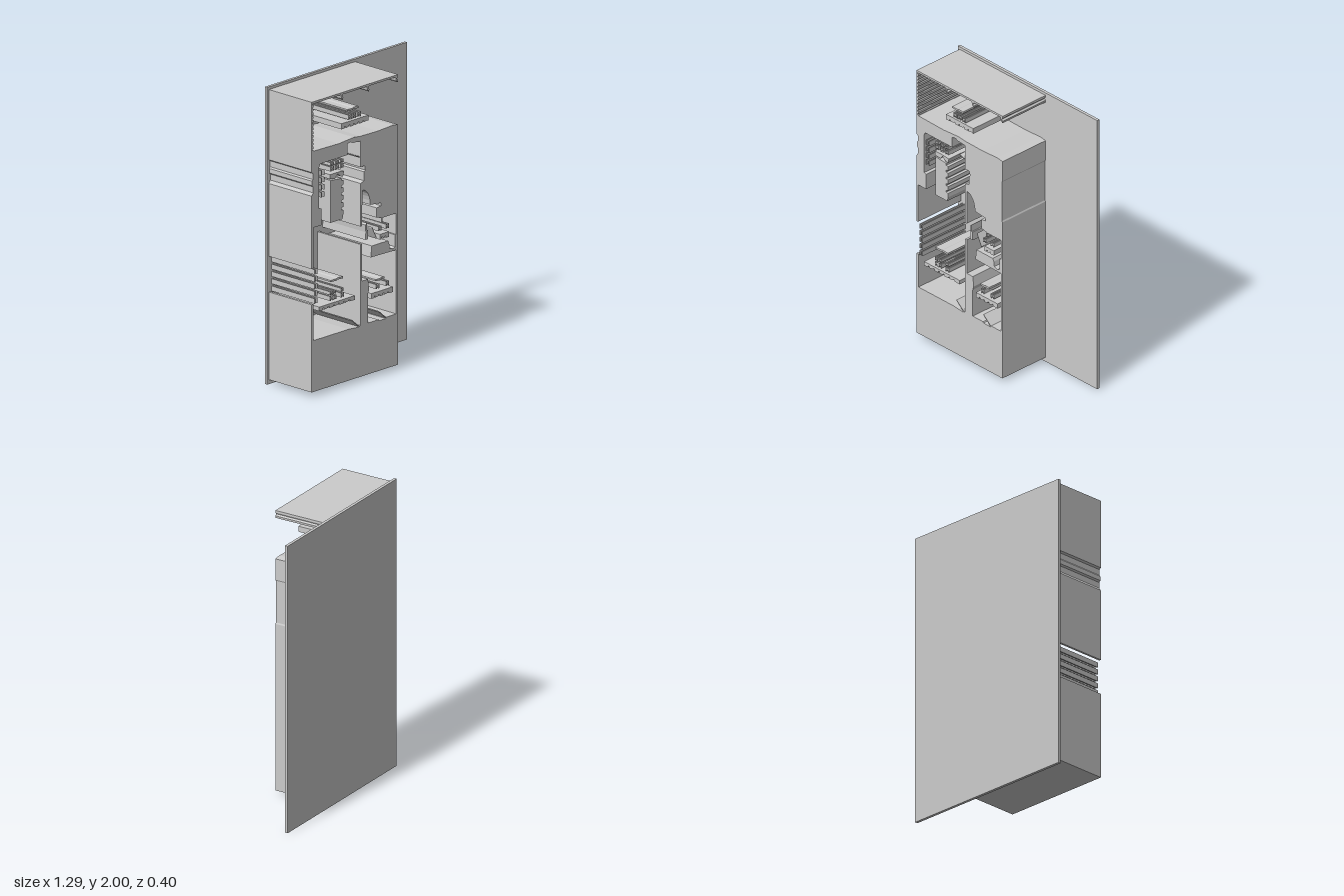
import * as THREE from 'three';

const BACK = -0.182, DEPTH = 0.382;
const material = new THREE.MeshStandardMaterial({ color: 0xcccccc, flatShading: true });

export function createModel() {
  const model = new THREE.Group();
  model.name = 'extrudedFloorPlan';

  // Extrude an outline of [x, y] points forward from the back plate
  function prism(name, points) {
    const shape = new THREE.Shape(points.map(([x, y]) => new THREE.Vector2(x, y)));
    const geometry = new THREE.ExtrudeGeometry(shape, { depth: DEPTH, bevelEnabled: false });
    const mesh = new THREE.Mesh(geometry, material);
    mesh.position.z = BACK;
    mesh.name = name;
    model.add(mesh);
  }
  const block = (name, x0, y0, x1, y1) =>
    prism(name, [[x0, y0], [x1, y0], [x1, y1], [x0, y1]]);

  // Bar with a notched lower edge, as a row of cushions
  function notchedBar(name, x0, y0, x1, y1, count) {
    const step = (x1 - x0) / count, pts = [[x1, y1], [x0, y1]];
    for (let i = 0; i < count; i++) {
      const a = x0 + i * step, b = a + step;
      pts.push([a, y0], [b - 0.012, y0 + (i % 2) * 0.005]);
      if (i < count - 1) pts.push([b - 0.012, y0 + 0.012], [b, y0 + 0.012]);
      else pts.push([b, y0]);
    }
    prism(name, pts);
  }

  // Small chair profile: two legs joined by a crossbar
  function chair(x, y, w = 0.03, h = 0.03) {
    const t = w * 0.3;
    prism('chair', [
      [x, y], [x + t, y], [x + t, y + h * 0.4], [x + w - t, y + h * 0.4],
      [x + w - t, y], [x + w, y], [x + w, y + h], [x + w - t, y + h],
      [x + w - t, y + h * 0.7], [x + t, y + h * 0.7], [x + t, y + h], [x, y + h],
    ]);
  }

  // Thin uneven strip
  function strip(name, x0, x1, y) {
    const m = (x0 + x1) / 2;
    prism(name, [[x0, y], [m, y - 0.004], [m, y + 0.002], [x1, y - 0.002],
      [x1, y + 0.012], [m + 0.01, y + 0.014], [m, y + 0.01], [x0, y + 0.01]]);
  }

  // Back plate
  const plate = new THREE.Mesh(new THREE.BoxGeometry(1.29, 2, 0.02), material);
  plate.position.set(0, 1, -0.19);
  plate.name = 'backPlate';
  model.add(plate);

  // Solid base below the two lower rooms
  prism('base', [[-0.63, 0.03], [0.165, 0.03], [0.165, 0.375], [0.06, 0.375], [0.055, 0.365],
    [-0.01, 0.367], [-0.015, 0.375], [-0.18, 0.375], [-0.2, 0.367], [-0.29, 0.375], [-0.63, 0.375]]);

  // Outer walls of the rooms, open at the left window
  block('lowerLeftWall', -0.63, 0.375, -0.612, 0.62);
  block('upperLeftWall', -0.63, 0.86, -0.615, 1.135);
  block('rightWall', 0.15, 0.375, 0.165, 1.052);

  // Wall between the lower rooms
  prism('middleWall', [[-0.18, 0.375], [-0.11, 0.375], [-0.11, 0.57], [-0.1, 0.6], [-0.11, 0.67],
    [-0.165, 0.67], [-0.165, 0.92], [-0.18, 0.92]]);

  // Solid around the upper left room
  prism('upperLeftMass', [[-0.63, 1.135], [-0.54, 1.135], [-0.54, 1.245], [-0.56, 1.25],
    [-0.56, 1.53], [-0.55, 1.55], [-0.3, 1.55], [-0.3, 1.625], [-0.27, 1.63], [-0.25, 1.62],
    [-0.18, 1.615], [-0.18, 1.648], [-0.24, 1.655], [-0.38, 1.645], [-0.63, 1.65],
    [-0.63, 1.51], [-0.618, 1.5], [-0.618, 1.46], [-0.626, 1.45], [-0.626, 1.42],
    [-0.616, 1.41], [-0.616, 1.37], [-0.63, 1.35]]);

  // Solid above the hall, with a rounded door swing cut into it
  const swing = [];
  for (let i = 0; i <= 6; i++) {
    const a = (i / 6) * Math.PI / 2;
    swing.push([-0.162 + 0.073 * Math.sin(a), 1.165 + 0.115 * Math.cos(a)]);
  }
  prism('upperRightMass', [[-0.18, 1.04], [-0.165, 1.04], ...swing,
    [0.01, 1.155], [0.01, 1.135], [-0.03, 1.13], [-0.03, 1.065], [0.015, 1.055], [0.015, 1.02],
    [0.022, 1.02], [0.022, 1.052], [0.165, 1.052], [0.165, 1.19], [0.161, 1.2], [0.161, 1.49],
    [0.167, 1.5], [0.167, 1.645], [0.12, 1.652], [-0.02, 1.645], [-0.18, 1.648],
    [-0.18, 1.44], [-0.14, 1.44], [-0.135, 1.41], [-0.145, 1.4], [-0.145, 1.34], [-0.18, 1.33]]);

  // Bathroom counter with a slot
  prism('bathroomCounter', [[-0.085, 0.81], [0.15, 0.805], [0.15, 0.91], [0.138, 0.91],
    [0.138, 0.83], [0.12, 0.82], [0.09, 0.83], [0.085, 0.865], [0.075, 0.885], [-0.075, 0.885]]);

  // Top slab with small hanging brackets
  block('topSlab', -0.63, 1.968, 0.167, 1.982);
  for (const x of [-0.36, -0.12, 0.145]) {
    prism('bracket', [[x, 1.968], [x + 0.005, 1.945], [x + 0.02, 1.93], [x + 0.022, 1.945],
      [x + 0.012, 1.955], [x + 0.02, 1.968]]);
  }

  // Ridged wall at the upper left
  const ridges = [[-0.63, 1.97], [-0.63, 1.64]];
  for (let i = 0; i < 13; i++) {
    const y = 1.64 + i * 0.0254;
    ridges.push([-0.613, y], [-0.613, y + 0.015], [-0.622, y + 0.016], [-0.622, y + 0.025]);
  }
  prism('ridgedWall', ridges);

  // Window slats at the left
  for (const [x, y0, n] of [[-0.542, 1.32, 4], [-0.517, 1.32, 4], [-0.603, 0.62, 5], [-0.582, 0.62, 5]]) {
    for (let i = 0; i < n; i++) block('windowSlat', x, y0 + i * 0.049, x + 0.007, y0 + i * 0.049 + 0.034);
  }

  // Table with a ragged right edge
  const table = [[-0.455, 1.415], [-0.455, 1.13], [-0.345, 1.13]];
  for (let i = 0; i < 5; i++) {
    const y = 1.16 + i * 0.05;
    table.push([-0.338, y], [-0.338, y + 0.03], [-0.355, y + 0.032], [-0.355, y + 0.046]);
  }
  prism('table', table);
  prism('tableEnd', [[-0.46, 1.425], [-0.41, 1.42], [-0.39, 1.445], [-0.36, 1.42], [-0.34, 1.415],
    [-0.33, 1.45], [-0.38, 1.455], [-0.46, 1.455]]);

  // Benches
  notchedBar('topBench', -0.355, 1.735, -0.105, 1.773, 6);
  notchedBar('leftBench', -0.56, 0.56, -0.23, 0.588, 7);
  notchedBar('rightBench', -0.08, 0.53, 0.12, 0.565, 5);
  notchedBar('bathroomBench', 0.0, 0.91, 0.085, 0.945, 3);

  // Chairs
  for (const x of [-0.455, -0.41, -0.365]) { chair(x, 1.475); chair(x, 1.512, 0.028, 0.022); }
  for (const x of [-0.29, -0.25, -0.205]) chair(x, 1.785);
  for (const x of [-0.46, -0.43, -0.36]) { chair(x, 0.605); chair(x, 0.645, 0.026, 0.022); }
  for (const x of [-0.035, 0.055]) chair(x, 0.585);
  for (const x of [-0.015, 0.055]) chair(x, 0.97);

  // Shelf strips
  strip('topShelf', -0.3, -0.2, 1.845);
  strip('leftShelf', -0.455, -0.34, 0.732);
  strip('rightShelf', -0.04, 0.04, 0.64);

  // Open door leaves
  for (const [x0, y0, x1, y1] of [[-0.26, 0.432, -0.19, 0.373], [-0.01, 0.432, 0.058, 0.373],
    [-0.07, 1.01, -0.03, 0.93], [-0.23, 1.53, -0.19, 1.515]]) {
    prism('doorLeaf', [[x0, y0], [x0, y0 - 0.007], [x1, y1 - 0.007], [x1, y1]]);
  }

  // Wash stand in the hall
  prism('washStand', [[-0.135, 0.94], [-0.11, 0.94], [-0.11, 1.0], [-0.12, 1.0], [-0.12, 1.05],
    [-0.135, 1.04], [-0.13, 0.99]]);
  return model;
}
